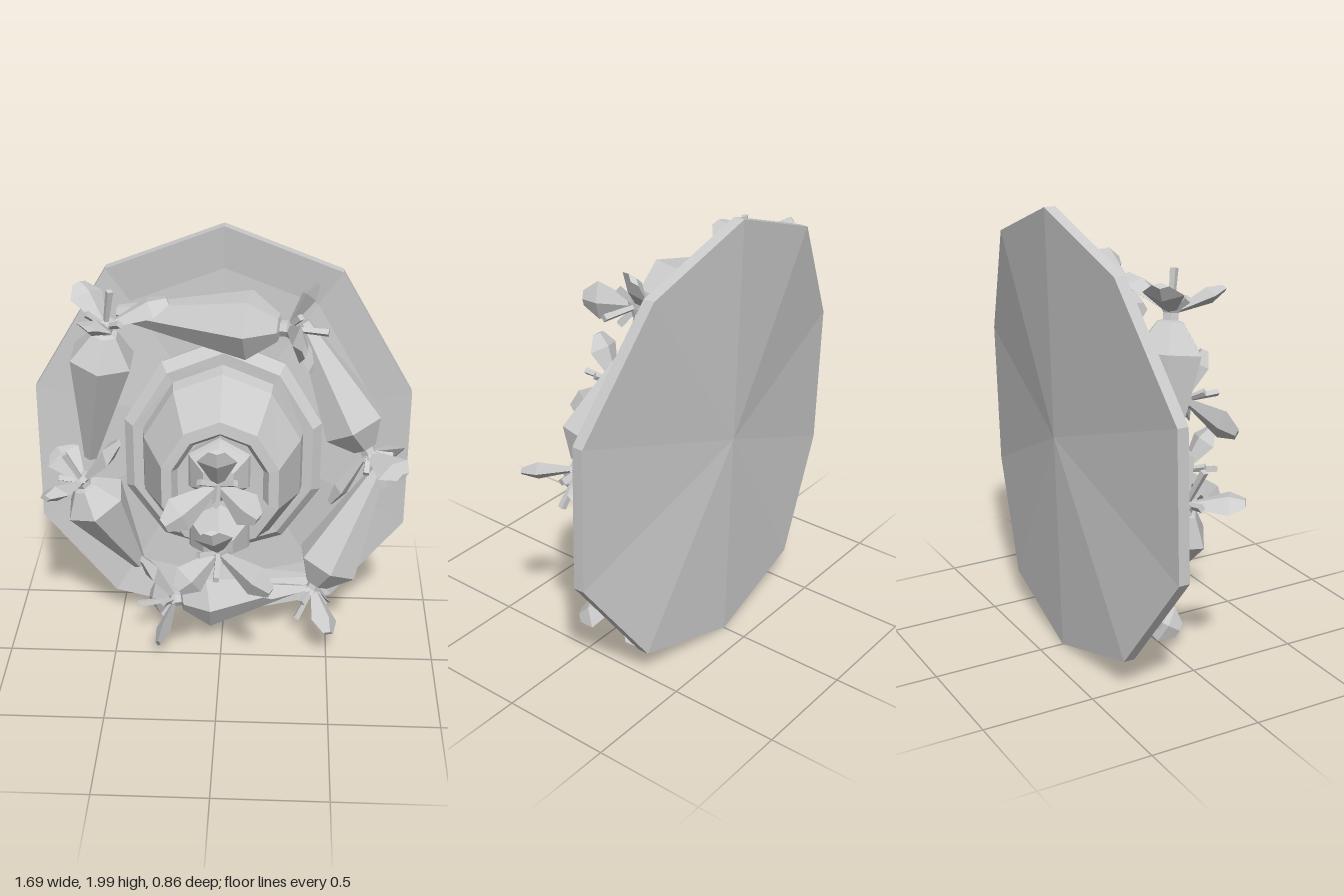
import * as THREE from 'three';

function lathe(name, profile, sides) {
  const geo = new THREE.LatheGeometry(profile.map(([r, h]) => new THREE.Vector2(r, h)), sides);
  const material = new THREE.MeshStandardMaterial({ color: 0xcccccc, flatShading: true, side: THREE.DoubleSide });
  const mesh = new THREE.Mesh(geo, material);
  mesh.name = name;
  return mesh;
}

// Oval ten-sided plate, its sides curving forward in straight facets from the centre
function makePlate() {
  const plate = lathe('plate', [[0, -0.05], [1, -0.05], [1, 0], [0.8, -0.025], [0, -0.025]], 10);
  plate.geometry.rotateX(Math.PI / 2);
  const p = plate.geometry.attributes.position;
  for (let i = 0; i < p.count; i++) {
    const x = p.getX(i), y = p.getY(i), r = Math.hypot(x, y);
    const u = r > 0 ? x / r : 0, v = r > 0 ? y / r : 0;
    const bend = 0.131 * Math.pow(Math.abs(u), 2.6) * r;
    const height = 1.003 + y * (0.997 + 0.08 * u * u) - 0.06 * u * u * r;
    p.setXYZ(i, x * 0.888, height, p.getZ(i) - 0.362 + bend - 0.024 * v * r);
  }
  return plate;
}

// Stepped oval bowl in the middle, its sides slightly forward
function makeBowl() {
  const bowl = lathe('bowl', [
    [0, -0.385], [0.43, -0.385], [0.45, -0.32], [0.41, -0.275], [0.365, -0.275],
    [0.355, -0.2], [0.26, 0.035], [0.215, 0.04], [0.19, 0], [0, -0.01],
  ], 10);
  bowl.geometry.rotateX(Math.PI / 2);
  const p = bowl.geometry.attributes.position;
  for (let i = 0; i < p.count; i++) {
    const x = p.getX(i), y = p.getY(i);
    p.setXYZ(i, x * 1.05, 0.945 + y * 1.23, p.getZ(i) + 0.3 * x * x);
  }
  return bowl;
}

// Flat diamond-section leaf growing along +y, widest near its tip
function makeLeaf(length, width) {
  const leaf = lathe('leaf', [[0, 0], [0.016, 0], [width, 0.72 * length], [0.4 * width, length], [0, length]], 4);
  leaf.geometry.scale(1, 1, 0.4);
  return leaf;
}

// Thin four-sided stalk growing along +y
function makeStalk(length) {
  return lathe('stalk', [[0, 0], [0.012, 0], [0.018, length], [0, length]], 4);
}

// Three spreading leaves, one upright stalk and two short side stalks, around +y
function makeCrown() {
  const crown = new THREE.Group();
  crown.name = 'crown';
  const add = (part, angle, lean) => {
    part.rotation.set(lean, angle, 0, 'YXZ');
    crown.add(part);
  };
  [0.24, 0.29, 0.23].forEach((length, k) => add(makeLeaf(length, 0.085), k * Math.PI * 2 / 3, 1.08));
  for (const side of [-1, 1]) add(makeStalk(0.11), side * Math.PI / 3, 0.95);
  add(makeStalk(0.18), 0, 0);
  return crown;
}

// Root vegetable from tail to neck; the first leaf leans to "lead", turned by "twist"
function makeRoot(name, tail, neck, profile, lead, twist) {
  const root = new THREE.Group();
  root.name = name;
  const a = new THREE.Vector3(...tail), axis = new THREE.Vector3(...neck).sub(a);
  const length = axis.length();
  axis.normalize();
  const x = new THREE.Vector3().crossVectors(axis, new THREE.Vector3(...lead)).normalize();
  const z = new THREE.Vector3().crossVectors(x, axis);
  root.quaternion.setFromRotationMatrix(new THREE.Matrix4().makeBasis(x, axis, z));
  root.position.copy(a);
  const crown = makeCrown();
  crown.position.y = length - 0.01;
  crown.rotation.y = twist;
  root.add(lathe('body', profile.map(([r, t]) => [r, t * length]), 6), crown);
  return root;
}

export function createModel() {
  const model = new THREE.Group();
  model.add(makePlate(), makeBowl());

  // Six long roots chasing each other around the rim: tail, neck, twist of the leaves
  const long = [[0, 0], [0.032, 0], [0.152, 0.77], [0.06, 0.94], [0.035, 0.95], [0.035, 0.99], [0.05, 1.02], [0, 1.03]];
  const rim = [
    [[-0.46, 1.65, -0.25], [0.29, 1.64, -0.12], 0],
    [[0.35, 1.62, -0.24], [0.66, 1.04, -0.12], -0.6],
    [[0.72, 0.9, -0.25], [0.43, 0.29, -0.15], -0.6],
    [[0.44, 0.27, -0.26], [-0.23, 0.22, -0.14], -0.6],
    [[-0.4, 0.35, -0.25], [-0.64, 0.87, -0.13], -0.6],
    [[-0.61, 0.93, -0.25], [-0.5, 1.64, -0.13], -0.25],
  ];
  for (const [tail, neck, twist] of rim) model.add(makeRoot('rimRoot', tail, neck, long, [0, 0, 1], twist));

  // Two short roots standing in the bowl
  const short = [[0, 0], [0.12, 0], [0.155, 0.42], [0.145, 0.5], [0.075, 0.82], [0.035, 0.83], [0.035, 0.96], [0.05, 1.02], [0, 1.04]];
  model.add(makeRoot('bowlRoot', [0, 1.06, -0.01], [0, 1.07, 0.25], short, [0, 1, 0], 0));
  model.add(makeRoot('bowlRoot', [0, 0.77, -0.01], [0, 0.73, 0.25], short, [0, 1, 0], 2.2));
  return model;
}
